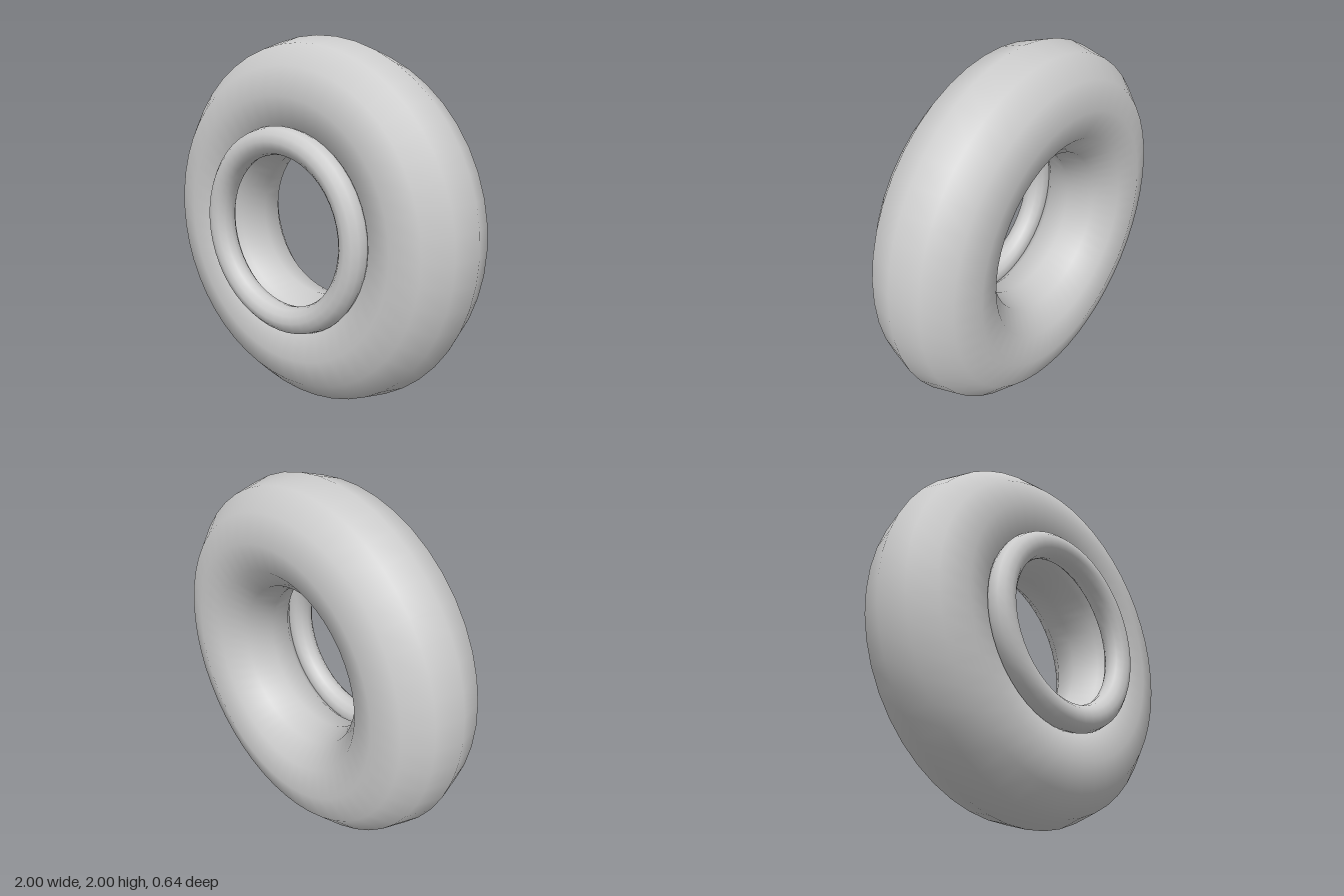
import * as THREE from 'three';

export function createModel() {
  const group = new THREE.Group();
  const grey = new THREE.MeshStandardMaterial({ color: 0xcccccc });
  grey.name = 'light grey';

  // A smooth ring facing +z, with a twelve-sided cross-section
  function addRing(name, radius, tube, z) {
    const mesh = new THREE.Mesh(new THREE.TorusGeometry(radius, tube, 12, 48), grey);
    mesh.name = name;
    mesh.position.set(0, 1, z);
    group.add(mesh);
  }

  addRing('tyre', 0.705, 0.295, -0.024); // large outer body
  addRing('rimRing', 0.48, 0.074, 0.245); // thin ring on the front

  return group;
}
